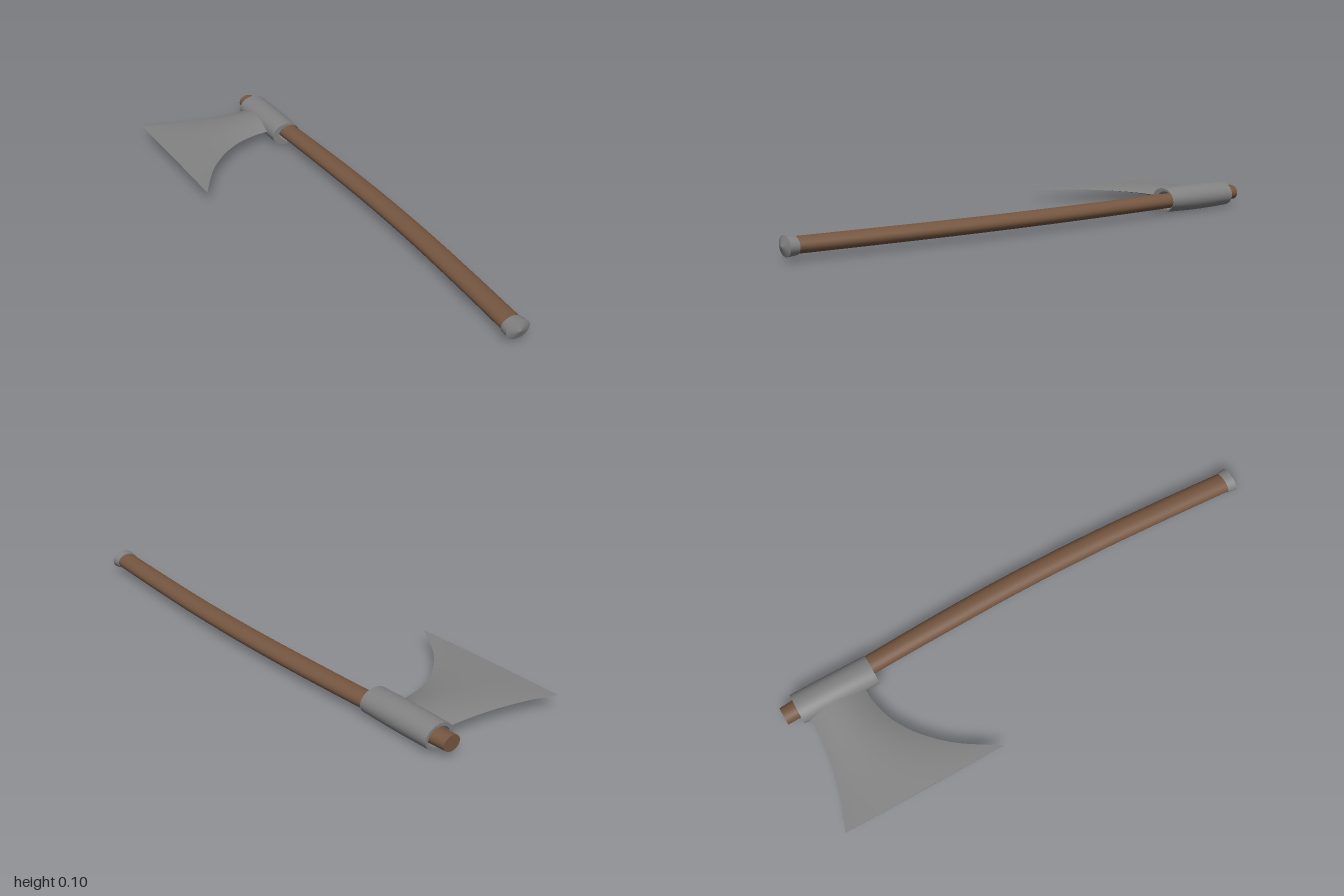
import * as THREE from 'three';

const MID_Y = 0.052;

// Elliptical loft along z. Each section is [z, centreX, radiusX, radiusY];
// repeating a section makes a sharp edge there.
function loft(sections, sides = 32) {
  const pos = [], idx = [];
  sections.forEach(([z, cx, rx, ry]) => {
    for (let j = 0; j < sides; j++) {
      const a = (j / sides) * Math.PI * 2;
      pos.push(cx + rx * Math.cos(a), MID_Y + ry * Math.sin(a), z);
    }
  });
  for (let i = 0; i < sections.length - 1; i++) {
    if (sections[i].every((v, k) => v === sections[i + 1][k])) continue;
    for (let j = 0; j < sides; j++) {
      const k = (j + 1) % sides;
      const a = i * sides + j, b = i * sides + k, c = a + sides, d = b + sides;
      idx.push(a, b, d, a, d, c);
    }
  }
  return finish(pos, idx);
}

function finish(pos, idx) {
  const g = new THREE.BufferGeometry();
  g.setAttribute('position', new THREE.Float32BufferAttribute(pos, 3));
  g.setIndex(idx);
  g.computeVertexNormals();
  return g;
}

// Gently bowed shaft, slightly slimmer at the head
function handleGeometry() {
  const bow = new THREE.CatmullRomCurve3([
    [0.211, -1], [0.234, -0.6], [0.248, -0.2], [0.251, 0.05],
    [0.246, 0.35], [0.232, 0.65], [0.213, 0.96],
  ].map(([x, z]) => new THREE.Vector3(x, 0, z)));
  const rings = [];
  for (let i = 0; i <= 32; i++) {
    const p = bow.getPoint(i / 32);
    const rx = 0.036 + 0.006 * Math.min(1, i / 10);
    rings.push([p.z, p.x, rx, 0.029]);
  }
  const first = rings[0];
  return loft([[first[0], first[1], 0, 0], first, ...rings]);
}

// Flaring blade: lens-shaped across z, tapering in thickness towards the edge
function bladeGeometry() {
  const backEdge = new THREE.SplineCurve([
    [-0.297, -1], [-0.2, -0.965], [-0.1, -0.941], [0, -0.926], [0.1, -0.919], [0.175, -0.918],
  ].map(p => new THREE.Vector2(...p)));
  const frontEdge = new THREE.SplineCurve([
    [-0.297, -0.34], [-0.2, -0.49], [-0.1, -0.592], [0, -0.655], [0.1, -0.684], [0.175, -0.686],
  ].map(p => new THREE.Vector2(...p)));
  const nu = 28, nv = 20, pos = [], idx = [];
  const at = (s, i, j) => (s * (nu + 1) + i) * (nv + 1) + j;
  [1, -1].forEach((sign, s) => {
    for (let i = 0; i <= nu; i++) {
      const a = backEdge.getPoint(i / nu), b = frontEdge.getPoint(i / nu);
      const half = 0.002 + 0.025 * (a.x + 0.297) / 0.457;
      for (let j = 0; j <= nv; j++) {
        const v = -Math.cos((j / nv) * Math.PI);
        const t = (v + 1) / 2;
        pos.push(a.x + (b.x - a.x) * t, MID_Y + sign * half * (1 - v * v), a.y + (b.y - a.y) * t);
      }
    }
    for (let i = 0; i < nu; i++) for (let j = 0; j < nv; j++) {
      const p = at(s, i, j), q = at(s, i, j + 1), r = at(s, i + 1, j), t = at(s, i + 1, j + 1);
      if (sign > 0) idx.push(p, q, t, p, t, r);
      else idx.push(p, t, q, p, r, t);
    }
  });
  // Narrow face along the cutting edge
  const base = pos.length / 3;
  for (let j = 0; j <= nv; j++) for (let s = 0; s < 2; s++) {
    const k = at(s, 0, j) * 3;
    pos.push(pos[k], pos[k + 1], pos[k + 2]);
  }
  for (let j = 0; j < nv; j++) {
    const p = base + j * 2;
    idx.push(p, p + 1, p + 3, p, p + 3, p + 2);
  }
  return finish(pos, idx);
}

// Hollow, slightly barrelled socket
function collarGeometry() {
  const cx = 0.212, outer = [];
  for (let i = 0; i <= 10; i++) {
    const t = i / 10, bulge = 0.004 * Math.sin(Math.PI * t);
    outer.push([-0.945 + 0.315 * t, cx, 0.062, 0.047 + bulge]);
  }
  const back = outer[0], front = outer[10];
  const innerBack = [-0.945, cx + 0.002, 0.048, 0.036], innerFront = [-0.63, cx + 0.014, 0.048, 0.036];
  return loft([innerBack, back, ...outer, front, innerFront, innerFront, innerBack], 40);
}

export function createModel() {
  const wood = new THREE.MeshStandardMaterial({ color: 0x755640 });
  wood.name = 'wood';
  const steel = new THREE.MeshStandardMaterial({ color: 0x828282 });
  steel.name = 'steel';

  const model = new THREE.Group();
  model.name = 'axe';
  const add = (name, geometry, material) => {
    const mesh = new THREE.Mesh(geometry, material);
    mesh.name = name;
    model.add(mesh);
  };

  add('handle', handleGeometry(), wood);
  add('collar', collarGeometry(), steel);
  add('blade', bladeGeometry(), steel);

  // End cap with a low pointed dome
  const capStart = [0.95, 0.213, 0.045, 0.033], capRim = [0.985, 0.213, 0.049, 0.037];
  add('endCap', loft([
    [0.95, 0.213, 0, 0], capStart, capStart, capRim, capRim, [1, 0.213, 0, 0],
  ]), steel);
  return model;
}
